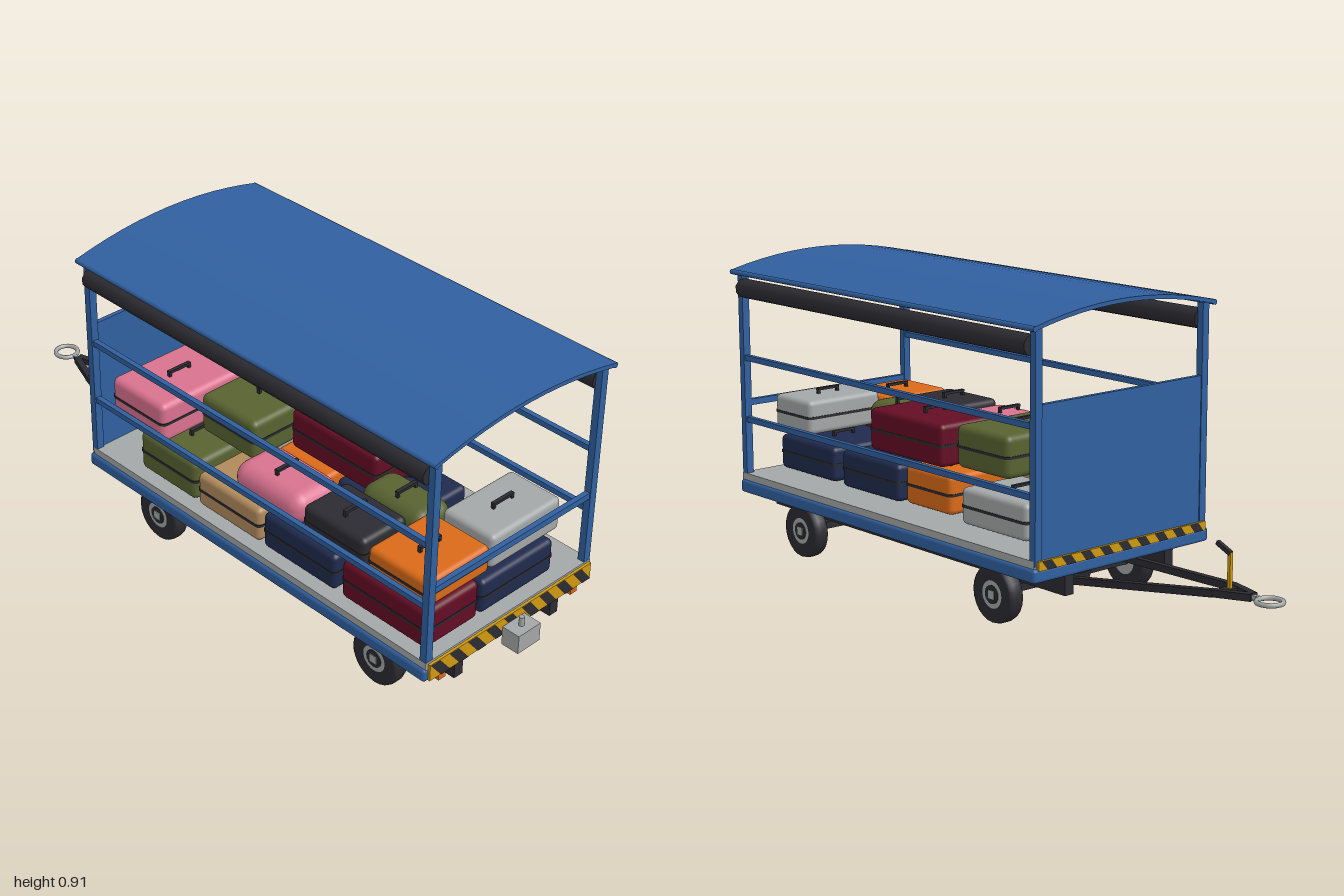
import * as THREE from 'three';
import { RoundedBoxGeometry } from 'three/addons/geometries/RoundedBoxGeometry.js';

const mat = (name, color, side = THREE.FrontSide) => new THREE.MeshStandardMaterial({ name, color, side });
const M = {
  blue: mat('blue paint', 0x30609f), grey: mat('light grey metal', 0xa4a7a7), dark: mat('charcoal', 0x2b2b31),
  yellow: mat('hazard yellow', 0xcf9a10), orange: mat('orange', 0xd96a18), maroon: mat('maroon', 0x640d24),
  navy: mat('navy', 0x1f2a4c), olive: mat('olive', 0x586230), pink: mat('pink', 0xd9728f), tan: mat('tan', 0xb08a5c),
};

export function createModel() {
  const root = new THREE.Group();
  root.name = 'luggageTrailer';

  const add = (name, geo, material, x = 0, y = 0, z = 0, parent = root) => {
    const m = new THREE.Mesh(geo, material);
    m.name = name;
    m.position.set(x, y, z);
    parent.add(m);
    return m;
  };
  // box given by its minimum and maximum on each axis
  const box = (name, material, x0, x1, y0, y1, z0, z1, parent = root) =>
    add(name, new THREE.BoxGeometry(x1 - x0, y1 - y0, z1 - z0), material,
      (x0 + x1) / 2, (y0 + y1) / 2, (z0 + z1) / 2, parent);
  // square bar between two points
  const beam = (name, material, a, b, w, parent = root) => {
    const p = new THREE.Vector3(...a), q = new THREE.Vector3(...b);
    const m = add(name, new THREE.BoxGeometry(w, w, p.distanceTo(q)), material, 0, 0, 0, parent);
    m.position.copy(p).add(q).multiplyScalar(0.5);
    m.lookAt(q);
    return m;
  };

  // deck
  add('deckFrame', new RoundedBoxGeometry(0.666, 0.04, 1.36, 2, 0.01), M.blue, 0, 0.194, 0.253);
  box('deckFloor', M.grey, -0.325, 0.325, 0.208, 0.235, -0.415, 0.93);

  // hazard boards with slanted stripes
  const hazard = (name, y, h, z, turn) => {
    const g = new THREE.Group();
    g.name = name;
    g.position.set(0, y, z);
    g.rotation.y = turn;
    root.add(g);
    box('hazardPlate', M.yellow, -0.318, 0.318, -h / 2, h / 2, -0.004, 0.004, g);
    const step = 0.07, w = 0.035, s = h * 0.4;
    for (let x = -0.28; x < 0.3; x += step) {
      const shape = new THREE.Shape([
        [x - w / 2 + s, -h / 2], [x + w / 2 + s, -h / 2], [x + w / 2 - s, h / 2], [x - w / 2 - s, h / 2],
      ].map(([px, py]) => new THREE.Vector2(THREE.MathUtils.clamp(px, -0.318, 0.318), py)));
      add('hazardStripe', new THREE.ShapeGeometry(shape), M.dark, 0, 0, 0.0055, g);
    }
  };
  hazard('frontHazardBoard', 0.205, 0.052, 0.936, 0);
  hazard('backHazardBoard', 0.222, 0.026, -0.425, Math.PI);

  // posts, rails and end panel
  for (const s of [-1, 1]) {
    for (const z of [-0.41, 0.918]) {
      add('post', new THREE.BoxGeometry(0.024, 0.64, 0.022), M.blue, s * 0.312, 0.54, z);
    }
    for (const y of [0.405, 0.597]) {
      add('sideRail', new THREE.BoxGeometry(0.016, 0.017, 1.31), M.blue, s * 0.312, y, 0.254);
    }
    // rolled side curtain
    add('rolledCurtain', new THREE.CylinderGeometry(0.03, 0.03, 1.31, 10), M.dark, s * 0.317, 0.812, 0.254).rotation.x = Math.PI / 2;
    add('marker', new THREE.BoxGeometry(0.026, 0.02, 0.012), M.orange, s * 0.262, 0.162, 0.926);
  }
  box('frontRail', M.blue, -0.305, 0.305, 0.446, 0.465, 0.91, 0.926);
  box('backPanel', M.blue, -0.302, 0.302, 0.215, 0.655, -0.418, -0.404);

  // arched roof
  const N = 12, top = [], under = [];
  for (let i = 0; i <= N; i++) {
    const x = -0.338 + 0.676 * i / N;
    const y = 0.908 - 0.042 * (x / 0.338) ** 2;
    top.push(new THREE.Vector2(x, y));
    under.unshift(new THREE.Vector2(x, y - 0.012));
  }
  add('roof', new THREE.ExtrudeGeometry(new THREE.Shape([...top, ...under]), { depth: 1.376, bevelEnabled: false }),
    M.blue, 0, 0, -0.433);
  for (const s of [-1, 1]) {
    add('roofEdge', new THREE.CylinderGeometry(0.008, 0.008, 1.376, 8), M.blue, s * 0.335, 0.86, 0.255).rotation.x = Math.PI / 2;
  }

  // chassis, axles, turntables and wheels
  const tyreProfile = [[0.04, -0.023], [0.074, -0.025], [0.081, -0.02], [0.084, -0.01], [0.084, 0.01],
    [0.081, 0.02], [0.074, 0.025], [0.04, 0.023]].map(p => new THREE.Vector2(...p));
  const tyreGeo = new THREE.LatheGeometry(tyreProfile, 24);
  for (const s of [-1, 1]) box('chassisRail', M.dark, s * 0.19 - 0.016, s * 0.19 + 0.016, 0.115, 0.176, -0.41, 0.925);
  for (const z of [0.7, -0.19]) {
    box('axle', M.dark, -0.24, 0.24, 0.078, 0.1, z - 0.016, z + 0.016);
    add('turntable', new THREE.CylinderGeometry(0.075, 0.07, 0.024, 20), M.dark, 0, 0.098, z);
    for (const s of [-1, 1]) {
      const w = new THREE.Group();
      w.name = 'wheel';
      w.position.set(s * 0.253, 0.084, z);
      w.rotation.z = -s * Math.PI / 2;
      root.add(w);
      add('tyre', tyreGeo, M.dark, 0, 0, 0, w);
      add('rim', new THREE.CylinderGeometry(0.044, 0.044, 0.046, 20), M.grey, 0, 0, 0, w);
      add('hub', new THREE.CylinderGeometry(0.027, 0.027, 0.008, 16), M.dark, 0, 0.021, 0, w);
      add('hubNut', new THREE.BoxGeometry(0.024, 0.008, 0.024), M.grey, 0, 0.023, 0, w);
    }
  }

  // drawbar with towing eye and lever
  for (const s of [-1, 1]) {
    beam('drawbarArm', M.dark, [s * 0.17, 0.118, -0.19], [s * 0.04, 0.179, -0.8], 0.02);
    beam('drawbarNose', M.dark, [s * 0.042, 0.179, -0.79], [s * 0.004, 0.183, -0.9], 0.02);
  }
  box('drawbarPlate', M.dark, -0.034, 0.034, 0.176, 0.188, -0.83, -0.8);
  box('eyeShank', M.grey, -0.006, 0.006, 0.177, 0.189, -0.925, -0.89);
  add('towingEye', new THREE.TorusGeometry(0.035, 0.007, 8, 24), M.grey, 0, 0.183, -0.958).rotation.x = Math.PI / 2;
  beam('leverStem', M.yellow, [0, 0.18, -0.818], [0, 0.285, -0.818], 0.01);
  beam('leverGrip', M.dark, [0, 0.282, -0.82], [0, 0.303, -0.772], 0.012);

  // front hitch
  box('hitchBox', M.grey, -0.043, 0.043, 0.15, 0.208, 0.942, 1.0);
  add('hitchPin', new THREE.CylinderGeometry(0.008, 0.008, 0.097, 12), M.grey, 0, 0.187, 0.97);

  // luggage: colour, x range, y range, z range, corner radius
  const bags = [
    ['maroon', -0.292, -0.09, 0.238, 0.358, 0.585, 0.895, 0.016],
    ['navy', -0.08, 0.205, 0.238, 0.345, 0.62, 0.895, 0.016],
    ['navy', -0.292, -0.05, 0.238, 0.35, 0.28, 0.56, 0.016],
    ['navy', -0.03, 0.212, 0.238, 0.35, 0.3, 0.572, 0.016],
    ['tan', -0.292, -0.07, 0.238, 0.345, 0.01, 0.265, 0.016],
    ['orange', -0.05, 0.197, 0.238, 0.355, 0.08, 0.285, 0.016],
    ['olive', -0.292, -0.03, 0.238, 0.365, -0.24, 0, 0.02],
    ['grey', 0.0, 0.226, 0.238, 0.345, -0.275, 0, 0.016],
    ['orange', -0.293, -0.055, 0.37, 0.456, 0.68, 0.895, 0.016],
    ['grey', -0.05, 0.222, 0.37, 0.475, 0.715, 0.895, 0.016],
    ['dark', -0.292, -0.125, 0.362, 0.46, 0.435, 0.665, 0.018],
    ['olive', -0.115, 0.02, 0.366, 0.46, 0.465, 0.7, 0.04],
    ['pink', -0.292, -0.12, 0.356, 0.455, 0.15, 0.42, 0.045],
    ['maroon', -0.035, 0.195, 0.37, 0.496, 0.12, 0.455, 0.016],
    ['olive', -0.167, 0.152, 0.37, 0.496, -0.115, 0.11, 0.02],
    ['pink', -0.295, 0.025, 0.37, 0.496, -0.355, -0.13, 0.02],
  ];
  for (const [colour, x0, x1, y0, y1, z0, z1, r] of bags) {
    const g = new THREE.Group();
    g.name = 'suitcase';
    g.position.set((x0 + x1) / 2, y0, (z0 + z1) / 2);
    root.add(g);
    const w = x1 - x0, h = y1 - y0, d = z1 - z0;
    add('caseBody', new RoundedBoxGeometry(w, h, d, 3, r), M[colour], 0, h / 2, 0, g);
    // seam band around the middle
    const a = w / 2 + 0.0015, b = d / 2 + 0.0015, seam = new THREE.Shape();
    seam.moveTo(-a + r, -b).lineTo(a - r, -b).quadraticCurveTo(a, -b, a, -b + r)
      .lineTo(a, b - r).quadraticCurveTo(a, b, a - r, b).lineTo(-a + r, b)
      .quadraticCurveTo(-a, b, -a, b - r).lineTo(-a, -b + r).quadraticCurveTo(-a, -b, -a + r, -b);
    if (r < 0.03) {
      add('seam', new THREE.ExtrudeGeometry(seam, { depth: 0.008, bevelEnabled: false, curveSegments: 3 }),
        M.dark, 0, h / 2 + 0.004, 0, g).rotation.x = Math.PI / 2;
    }
    // carrying handle
    const k = Math.min(0.036, w * 0.25);
    for (const s of [-1, 1]) box('handlePost', M.dark, s * k - 0.004, s * k + 0.004, h - 0.004, h + 0.014, -0.005, 0.005, g);
    box('handleGrip', M.dark, -k - 0.004, k + 0.004, h + 0.01, h + 0.018, -0.006, 0.006, g);
  }
  return root;
}
